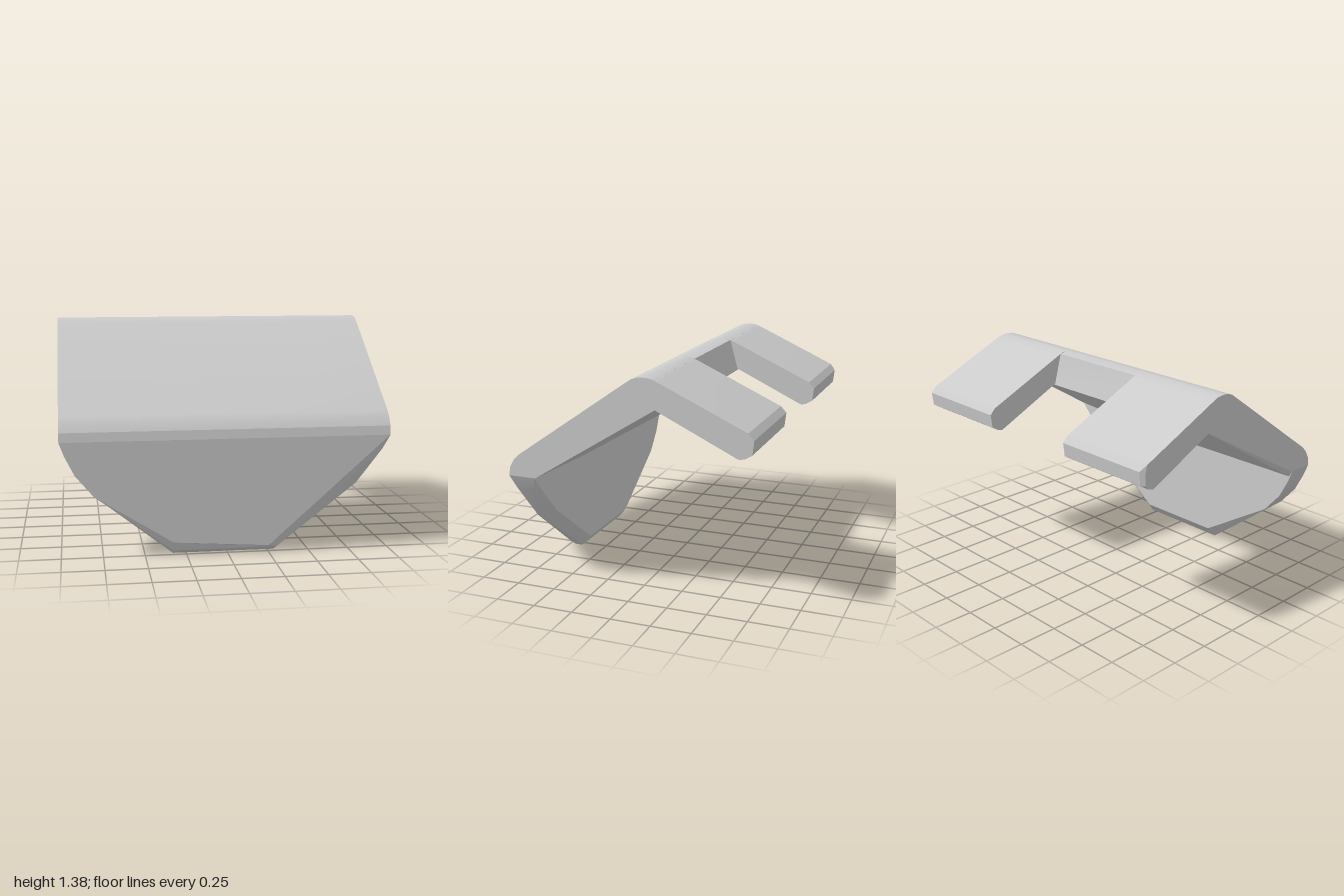
import * as THREE from 'three';
import { toCreasedNormals } from 'three/addons/utils/BufferGeometryUtils.js';

const material = new THREE.MeshStandardMaterial({ color: 0xcccccc });

// Skins a stack of convex rings (counter-clockwise seen from the last ring) and caps both ends.
function loft(name, rings) {
  const pos = [];
  const tri = (a, b, c) => pos.push(...a, ...b, ...c);
  const n = rings[0].length;
  for (let i = 0; i < rings.length - 1; i++) {
    const A = rings[i], B = rings[i + 1];
    for (let j = 0; j < n; j++) {
      const k = (j + 1) % n;
      tri(A[j], A[k], B[j]);
      tri(A[k], B[k], B[j]);
    }
  }
  const first = rings[0], last = rings[rings.length - 1];
  for (let j = 1; j < n - 1; j++) {
    tri(first[0], first[j + 1], first[j]);
    tri(last[0], last[j], last[j + 1]);
  }
  const geo = new THREE.BufferGeometry();
  geo.setAttribute('position', new THREE.Float32BufferAttribute(pos, 3));
  const mesh = new THREE.Mesh(toCreasedNormals(geo, 0.3), material);
  mesh.name = name;
  return mesh;
}

// Ring from a (z, y) side profile at x, or an (x, y) outline at z; an outline point may carry its own z.
const atX = (x, profile) => profile.map(([z, y]) => [x, y, z]);
const atZ = (z, outline) => outline.map(([x, y, ownZ = z]) => [x, y, ownZ]);

export function createModel() {
  const group = new THREE.Group();

  // Sloped plate: rounded outer bends, underside rising slightly at the left end
  const outer = [
    [0.775, 0.71], [0.765, 0.765], [0.74, 0.81], [0.7, 0.85],
    [0, 1.34], [-0.04, 1.368], [-0.08, 1.381], [-0.12, 1.384], [-0.18, 1.373],
  ];
  const inner = [[-0.235, 1.172], [0.597, 0.672]];
  group.add(loft('slopedPlate', [
    atX(1, [...outer, [-0.19, 1.205], [0.597, 0.71]]),
    atX(0.345, [...outer, ...inner]),
    atX(-0.98, [...outer, ...inner]),
    atX(-1, [...outer, [-0.235, 1.178], [0.597, 0.71]]),
  ]));

  // Two rear tabs either side of the open slot, the right one with a cut outer corner
  const tab = [
    [-0.12, 1.384], [-0.165, 1.379], [-0.21, 1.36], [-0.735, 1.123], [-0.77, 1.085],
    [-0.76, 1.0], [-0.72, 0.975], [-0.685, 0.966], [-0.19, 1.2],
  ];
  const cutTab = tab.map(([z, y]) => [Math.max(z, -0.745), y]);
  group.add(loft('leftTab', [atX(1, tab), atX(0.345, tab)]));
  group.add(loft('rightTab', [atX(-0.35, tab), atX(-0.975, tab), atX(-1, cutTab)]));

  // Front flap: tapered outline, rounded lower edge and broad chamfers on the left edge
  const rightEdge = [[-1, 0.71], [-0.97, 0.63], [-0.91, 0.51], [-0.8, 0.38]];
  const bottom = [[-0.33, 0.003], [0.29, 0.003]];
  group.add(loft('frontFlap', [
    atZ(0.605, [...rightEdge, [-0.31, 0.07], [0.27, 0.07], [0.74, 0.42], [0.92, 0.62], [1, 0.71]]),
    atZ(0.66, [...rightEdge, ...bottom, [0.81, 0.4, 0.69], [0.96, 0.62, 0.63], [1, 0.71, 0.605]]),
    atZ(0.715, [...rightEdge, ...bottom, [0.81, 0.4, 0.7], [0.96, 0.62, 0.745], [1, 0.71, 0.775]]),
    atZ(0.757, [...rightEdge, [-0.33, 0.03], [0.3, 0.032], [0.68, 0.386], [0.89, 0.6], [1, 0.71, 0.775]]),
    atZ(0.775, [...rightEdge, [-0.33, 0.085], [0.25, 0.045], [0.63, 0.382], [0.87, 0.595], [1, 0.71]]),
  ]));

  return group;
}
